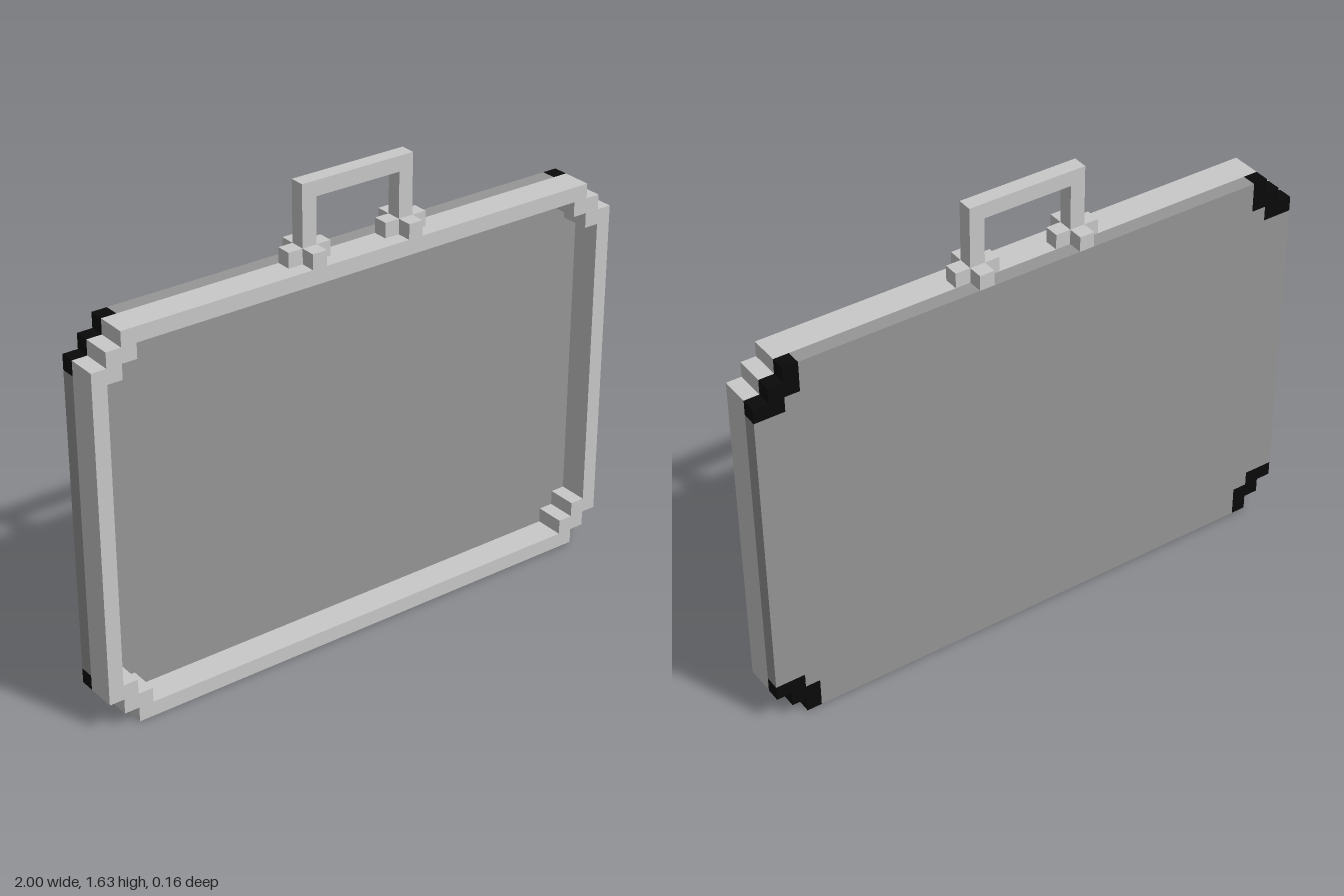
import * as THREE from 'three';

const U = 2 / 38;   // one block of the stepped design
const H = 26;       // case height in blocks

// Repeat a bottom-right corner path (counter-clockwise) around all four corners
function fourCorners(path) {
  const rev = [...path].reverse();
  return [
    ...path,
    ...rev.map(([x, y]) => [x, H - y]),
    ...path.map(([x, y]) => [-x, H - y]),
    ...rev.map(([x, y]) => [-x, y]),
  ];
}

const toPoints = (pts) => pts.map(([x, y]) => new THREE.Vector2(x * U, y * U));

// Flat plate from an outline in blocks, spanning z0..z1 (in blocks)
function plate(name, outline, z0, z1, material, hole) {
  const shape = new THREE.Shape(toPoints(outline));
  if (hole) shape.holes.push(new THREE.Path(toPoints(hole)));
  const geo = new THREE.ExtrudeGeometry(shape, { depth: (z1 - z0) * U, bevelEnabled: false });
  geo.translate(0, 0, z0 * U);
  const mesh = new THREE.Mesh(geo, material);
  mesh.name = name;
  return mesh;
}

export function createModel() {
  const lightGrey = new THREE.MeshStandardMaterial({ color: 0xc9c9c9 });
  lightGrey.name = 'lightGrey';
  const darkGrey = new THREE.MeshStandardMaterial({ color: 0x969696 });
  darkGrey.name = 'darkGrey';
  const black = new THREE.MeshStandardMaterial({ color: 0x0a0a0a });
  black.name = 'black';

  const group = new THREE.Group();
  group.name = 'briefcase';

  // Raised front rim with stepped corners
  const outer = [[17, 0], [17, 1], [18, 1], [18, 2], [19, 2]];
  const inner = [[16, 1], [16, 2], [17, 2], [17, 3], [18, 3]];
  group.add(plate('rim', fourCorners(outer), -0.5, 1.5, lightGrey, fourCorners(inner)));

  // Back panel, notched where the corner guards sit
  const notch = [[16, 0], [16, 2], [17, 2], [17, 3], [19, 3]];
  group.add(plate('backPanel', fourCorners(notch), -1.5, -0.5, darkGrey));

  // Black corner guards
  const guard = [...outer, ...[...notch].reverse()];
  for (const sx of [1, -1]) {
    for (const top of [false, true]) {
      const pts = guard.map(([x, y]) => [sx * x, top ? H - y : y]);
      group.add(plate('cornerGuard', pts, -1.5, -0.5, black));
    }
  }

  // Square handle
  const arch = [[-4, 26], [-3, 26], [-3, 30], [3, 30], [3, 26], [4, 26], [4, 31], [-4, 31]];
  group.add(plate('handle', arch, -0.5, 0.5, lightGrey));

  // Four blocks in a cross around the foot of each handle post
  const block = new THREE.BoxGeometry(U, U, U);
  for (const side of [-1, 1]) {
    const mount = new THREE.Group();
    mount.name = side > 0 ? 'leftHandleMount' : 'rightHandleMount';
    for (const [dx, dz] of [[1, 0], [-1, 0], [0, 1], [0, -1]]) {
      const mesh = new THREE.Mesh(block, lightGrey);
      mesh.name = 'mountBlock';
      mesh.position.set((side * 3.5 + dx) * U, (H + 0.5) * U, dz * U);
      mount.add(mesh);
    }
    group.add(mount);
  }

  return group;
}
